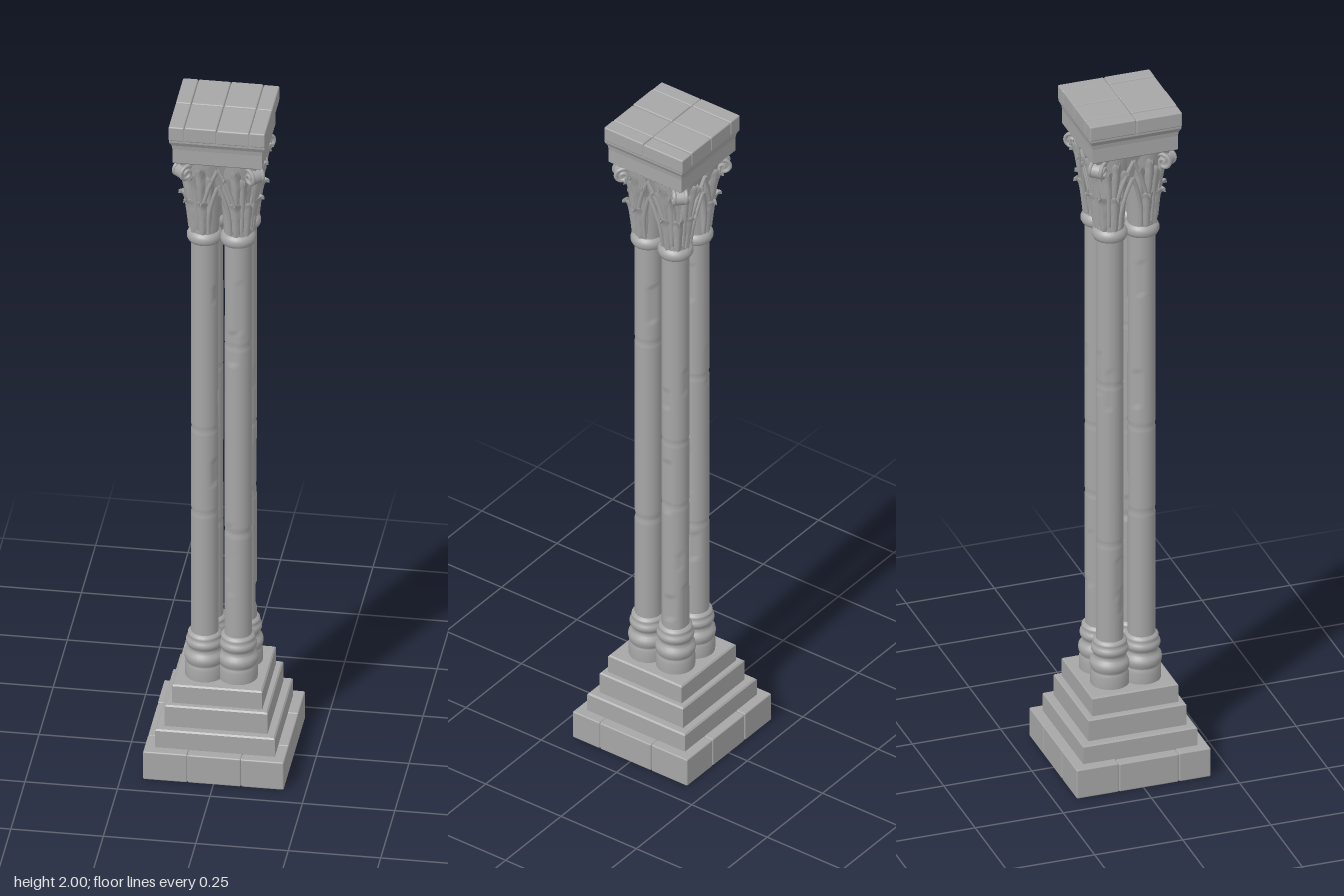
import * as THREE from 'three';
import { mergeVertices } from 'three/addons/utils/BufferGeometryUtils.js';
import { RoundedBoxGeometry } from 'three/addons/geometries/RoundedBoxGeometry.js';

const V2 = (x, y) => new THREE.Vector2(x, y);
const V3 = (x, y, z) => new THREE.Vector3(x, y, z);

export function createModel() {
  const root = new THREE.Group();
  const stone = new THREE.MeshStandardMaterial({ color: 0xa6a6a6, side: THREE.DoubleSide });
  stone.name = 'greyStone';

  let seed = 7;
  const rand = (a, b) => {
    seed = (seed * 16807) % 2147483647;
    return a + (b - a) * (seed / 2147483647);
  };

  const add = (parent, name, geometry) => {
    const mesh = new THREE.Mesh(geometry, stone);
    mesh.name = name;
    parent.add(mesh);
    return mesh;
  };

  // Square solid from a profile of [half width, height], bottom to top
  const squareTurned = (profile) => {
    const pts = profile.map(([h, y]) => V2(h * Math.SQRT2, y));
    const g = new THREE.LatheGeometry(pts, 4, Math.PI / 4).toNonIndexed();
    g.computeVertexNormals();
    return g;
  };
  const slab = (h, y0, y1, c = 0.004) => squareTurned(
    [[0, y0], [h - c, y0], [h, y0 + c], [h, y1 - c], [h - c, y1], [0, y1]]);
  const turned = (profile, n = 28) => new THREE.LatheGeometry(profile.map(([r, y]) => V2(r, y)), n);

  // Grid of worn blocks between the given seams
  const blocks = (name, xs, zs, y0, y1, gap) => {
    for (let i = 0; i < xs.length - 1; i++) {
      for (let j = 0; j < zs.length - 1; j++) {
        const drop = rand(0, 0.0025);
        const g = new RoundedBoxGeometry(xs[i + 1] - xs[i] - gap, y1 - y0 - drop,
          zs[j + 1] - zs[j] - gap, 2, 0.004);
        add(root, name, g).position.set((xs[i] + xs[i + 1]) / 2, (y0 + y1 - drop) / 2, (zs[j] + zs[j + 1]) / 2);
      }
    }
  };

  // Stepped foot
  add(root, 'plinthCore', slab(0.187, 0, 0.083));
  blocks('plinthBlock', [-0.191, -0.07, 0.075, 0.191], [-0.191, -0.07, 0.1, 0.191], 0, 0.087, 0.0015);
  add(root, 'lowerStep', slab(0.162, 0.08, 0.141));
  add(root, 'middleStep', slab(0.139, 0.135, 0.205));
  add(root, 'upperStep', slab(0.122, 0.2, 0.26));

  // Shaft with flat worn chips and narrow drum joints
  const shaftGeometry = () => {
    const R = 0.037, y0 = 0.38, y1 = 1.63;
    const chips = Array.from({ length: 9 }, () => ({
      a: rand(0, Math.PI * 2), y: rand(0.45, 1.55), h: rand(0.02, 0.09), d: R * rand(0.88, 0.95),
    }));
    const joints = [rand(0.55, 0.82), rand(1.0, 1.4)];
    let g = new THREE.CylinderGeometry(R, R, y1 - y0, 28, 150, true);
    g.translate(0, (y0 + y1) / 2, 0);
    const p = g.attributes.position;
    for (let i = 0; i < p.count; i++) {
      const a = Math.atan2(p.getX(i), p.getZ(i)), y = p.getY(i);
      let r = R;
      for (const c of chips) {
        const k = Math.cos(a - c.a);
        if (Math.abs(y - c.y) < c.h && k > 0.5) r = Math.min(r, c.d / k);
      }
      if (joints.some((j) => Math.abs(y - j) < 0.0045)) r -= 0.002;
      p.setXYZ(i, Math.sin(a) * r, y, Math.cos(a) * r);
    }
    g.deleteAttribute('uv');
    g.deleteAttribute('normal');
    g = mergeVertices(g, 1e-5);
    g.computeVertexNormals();
    return g;
  };

  // Ridged, scalloped leaf that follows a path of [distance out, height]
  const leafGeometry = (path, width) => {
    const curve = new THREE.SplineCurve(path.map(([r, y]) => V2(r, y)));
    const g = new THREE.PlaneGeometry(2, 1, 6, 20);
    const p = g.attributes.position;
    for (let i = 0; i < p.count; i++) {
      const u = p.getX(i), t = p.getY(i) + 0.5;
      const c = curve.getPoint(t);
      const w = width * (0.75 + 0.5 * Math.sin(t * Math.PI)) * (1 - t ** 3 * 0.95)
        * (1 + 0.16 * Math.abs(Math.sin(t * Math.PI * 4)));
      p.setXYZ(i, u * w, c.y, c.x + 0.007 * (1 - Math.abs(u)) - 0.006 * u * u);
    }
    g.computeVertexNormals();
    return g;
  };

  const baseProfile = [[0.052, 0.255], [0.053, 0.262], [0.053, 0.292], [0.049, 0.3], [0.049, 0.305],
    [0.053, 0.31], [0.055, 0.321], [0.053, 0.332], [0.046, 0.337], [0.043, 0.347], [0.046, 0.354],
    [0.05, 0.359], [0.051, 0.366], [0.049, 0.374], [0.044, 0.378], [0.046, 0.384], [0.045, 0.391], [0.036, 0.396]];
  const collarProfile = [[0.036, 1.608], [0.044, 1.612], [0.048, 1.62], [0.048, 1.63], [0.044, 1.638], [0.038, 1.643]];
  const bellProfile = [[0.038, 1.64], [0.041, 1.69], [0.046, 1.75], [0.053, 1.81], [0.062, 1.86], [0.064, 1.885]];

  // Four clustered columns, each with its base, collar and leafy bell
  const C = 0.045;
  for (const sx of [-1, 1]) {
    for (const sz of [-1, 1]) {
      const column = new THREE.Group();
      column.name = 'column';
      column.position.set(sx * C, 0, sz * C);
      root.add(column);
      add(column, 'columnBase', turned(baseProfile));
      add(column, 'shaft', shaftGeometry());
      add(column, 'collar', turned(collarProfile));
      add(column, 'bell', turned(bellProfile));

      const diagonal = Math.atan2(sx, sz);
      for (const k of [-1, 0, 1]) {
        const low = leafGeometry([[0.038, 1.645], [0.043, 1.69], [0.05, 1.735], [0.062, 1.757], [0.065, 1.745]], 0.014);
        add(column, 'lowerLeaf', low).rotation.y = diagonal + k * Math.PI / 4;
      }
      for (const k of [-1.5, -0.5, 0.5, 1.5]) {
        const high = leafGeometry([[0.038, 1.66], [0.046, 1.74], [0.055, 1.8], [0.068, 1.838], [0.072, 1.825]], 0.012);
        add(column, 'upperLeaf', high).rotation.y = diagonal + k * Math.PI / 4;
      }

      // Corner scroll
      const scroll = new THREE.Group();
      scroll.name = 'cornerScroll';
      scroll.rotation.y = diagonal;
      root.add(scroll);
      const cz = 0.136, cy = 1.845;
      const drum = add(scroll, 'scrollDrum', new THREE.CylinderGeometry(0.021, 0.021, 0.03, 20));
      drum.rotation.z = Math.PI / 2;
      drum.position.set(0, cy, cz);
      for (const s of [-1, 1]) {
        const x = s * 0.016;
        const pts = [V3(x * 0.4, 1.69, 0.102), V3(x * 0.6, 1.75, 0.108), V3(x, 1.81, 0.112)];
        for (let i = 0; i <= 18; i++) {
          const a = Math.PI - i * Math.PI / 6, r = 0.026 * (1 - i / 21);
          pts.push(V3(x, cy + Math.sin(a) * r, cz + Math.cos(a) * r));
        }
        add(scroll, 'scrollRib', new THREE.TubeGeometry(new THREE.CatmullRomCurve3(pts), 70, 0.0055, 7));
      }
    }
  }

  // Capital core and pointed arches on each face
  add(root, 'capitalCore', squareTurned([[0, 1.69], [0.03, 1.69], [0.07, 1.76], [0.1, 1.86], [0.108, 1.885], [0, 1.885]]));
  const faceZ = (y) => 0.082 + (y - 1.65) * 0.13;
  for (let f = 0; f < 4; f++) {
    const face = new THREE.Group();
    face.name = 'capitalFace';
    face.rotation.y = f * Math.PI / 2;
    root.add(face);
    const arches = [
      [[0.05, 1.65], [0.046, 1.72], [0.026, 1.8], [0, 1.865]],
      [[0.03, 1.65], [0.027, 1.71], [0.015, 1.765], [0, 1.81]],
    ];
    for (const s of [-1, 1]) {
      for (const arch of arches) {
        const path = new THREE.CatmullRomCurve3(arch.map(([x, y]) => V3(s * x, y, faceZ(y))));
        add(face, 'archRib', new THREE.TubeGeometry(path, 20, 0.0058, 7));
      }
      const frond = leafGeometry([[0.09, 1.74], [0.1, 1.79], [0.108, 1.835], [0.118, 1.865], [0.121, 1.855]], 0.012);
      const m = add(face, 'spandrelLeaf', frond);
      m.position.x = s * 0.048;
    }
  }

  // Top slab: moulded underside and worn paving blocks
  add(root, 'abacusMoulding', squareTurned([[0, 1.88], [0.117, 1.88], [0.121, 1.884], [0.121, 1.925],
    [0.123, 1.938], [0.129, 1.95], [0.129, 1.992], [0, 1.992]]));
  blocks('abacusBlock', [-0.131, -0.088, 0, 0.088, 0.131], [-0.131, 0, 0.131], 1.955, 2, 0.001);
  return root;
}
